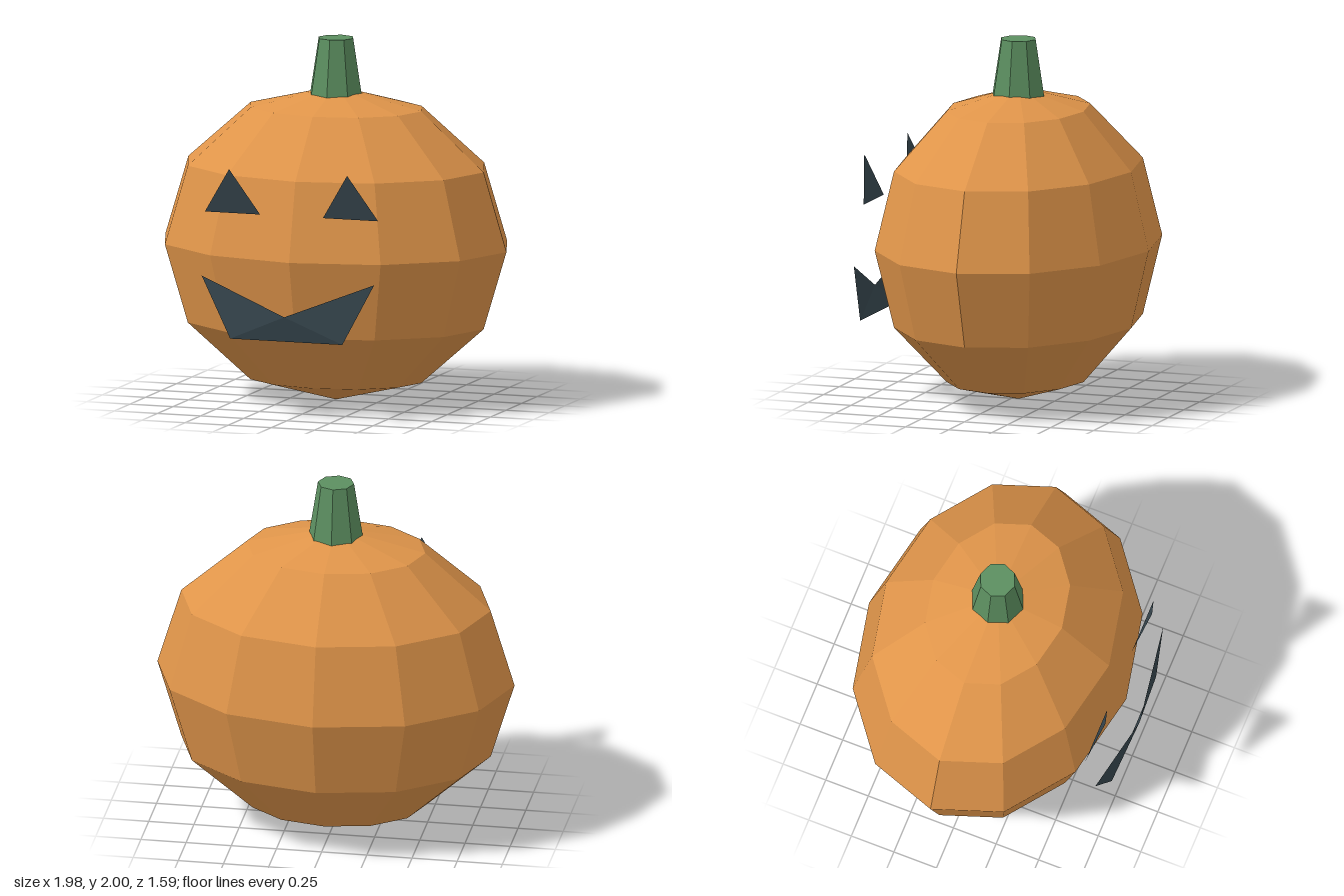
import * as THREE from 'three';

const material = (color, side = THREE.FrontSide) =>
  new THREE.MeshStandardMaterial({ color, flatShading: true, side });

// Flat-faced panel from corner points and triangle indices
function panel(name, points, triangles, mat) {
  const geometry = new THREE.BufferGeometry();
  geometry.setAttribute('position', new THREE.Float32BufferAttribute(points.flat(), 3));
  geometry.setIndex(triangles);
  const flat = geometry.toNonIndexed();
  flat.computeVertexNormals();
  const mesh = new THREE.Mesh(flat, mat);
  mesh.name = name;
  return mesh;
}

export function createModel() {
  const model = new THREE.Group();
  model.name = 'carvedPumpkin';
  const centreZ = -0.04;
  const dark = material(0x37474f, THREE.DoubleSide);

  // Faceted body, wider than deep
  const body = new THREE.Mesh(
    new THREE.SphereGeometry(1, 12, 6).scale(0.988, 0.866, 0.755),
    material(0xe0954a)
  );
  body.name = 'body';
  body.position.set(0, 0.868, centreZ);
  model.add(body);

  // Tapered eight-sided stem, its foot sunk into the body
  const stem = new THREE.Mesh(new THREE.CylinderGeometry(0.1, 0.157, 0.36, 8), material(0x5c8f60));
  stem.name = 'stem';
  stem.position.set(0, 1.82, centreZ);
  model.add(stem);

  // Triangular eyes, leaning forward at the top
  for (const [name, x] of [['leftEye', 0.342], ['rightEye', -0.342]]) {
    model.add(panel(name, [
      [x - 0.16, 1.12, 0.675], [x + 0.16, 1.12, 0.675], [x, 1.37, 0.73]
    ], [0, 1, 2], dark));
  }

  // Grinning mouth, folded outwards along the middle
  model.add(panel('mouth', [
    [0, 0.58, 0.793], [-0.5, 0.775, 0.733], [-0.325, 0.44, 0.76],
    [0.325, 0.44, 0.76], [0.5, 0.775, 0.733]
  ], [0, 1, 2, 0, 2, 3, 0, 3, 4], dark));

  return model;
}
